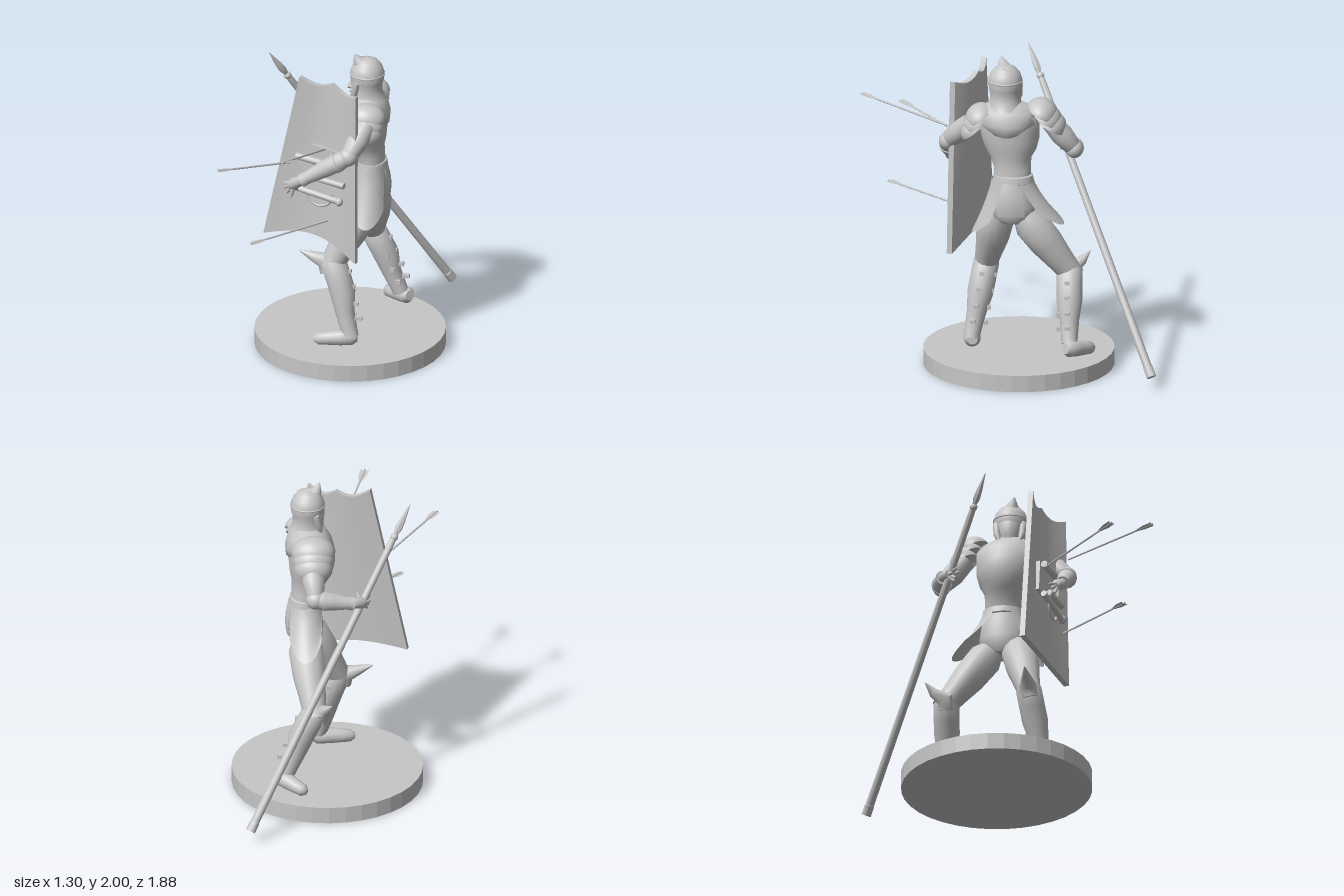
import * as THREE from 'three';
import { toCreasedNormals } from 'three/addons/utils/BufferGeometryUtils.js';

const V = (x, y, z) => new THREE.Vector3(x, y, z);
const UP = V(0, 1, 0);
const lerp = THREE.MathUtils.lerp;

export function createModel() {
  const root = new THREE.Group();
  root.name = 'knightFigure';
  const grey = new THREE.MeshStandardMaterial({ color: 0xc6c6c6, side: THREE.DoubleSide });
  grey.name = 'stone grey';

  const add = (name, geo, parent = root) => {
    const m = new THREE.Mesh(geo, grey);
    m.name = name;
    parent.add(m);
    return m;
  };

  // Closed skin over a list of equal-length rings; faces are turned outward by volume
  const loft = (rings, crease = 0.9) => {
    const n = rings[0].length, pts = rings.flat(), idx = [];
    for (let i = 0; i < rings.length - 1; i++) for (let j = 0; j < n; j++) {
      const a = i * n + j, b = i * n + (j + 1) % n;
      idx.push(a, b, a + n, b, b + n, a + n);
    }
    [0, rings.length - 1].forEach((r, end) => {
      const c = rings[r].reduce((s, p) => s.add(p), V(0, 0, 0)).divideScalar(n);
      pts.push(c);
      for (let j = 0; j < n; j++) {
        const a = r * n + j, b = r * n + (j + 1) % n;
        idx.push(...(end ? [a, b, pts.length - 1] : [b, a, pts.length - 1]));
      }
    });
    let vol = 0;
    for (let i = 0; i < idx.length; i += 3)
      vol += pts[idx[i]].dot(V(0, 0, 0).crossVectors(pts[idx[i + 1]], pts[idx[i + 2]]));
    if (vol < 0) idx.reverse();
    const g = new THREE.BufferGeometry().setFromPoints(pts);
    g.setIndex(idx);
    return toCreasedNormals(g, crease);
  };

  // Upright body from [y, cx, cz, rx, rz] levels
  const body = (name, levels, parent) => add(name, loft(levels.map(([y, cx, cz, rx, rz]) =>
    Array.from({ length: 28 }, (_, j) => {
      const a = j / 28 * Math.PI * 2;
      return V(cx + rx * Math.cos(a), y, cz + rz * Math.sin(a));
    }))), parent);

  // Round limb through [x, y, z, radius] points
  const limb = (name, pts, parent, n = 16) => {
    const p = pts.map(q => V(q[0], q[1], q[2]));
    const side = V(0, 0, 0);
    return add(name, loft(p.map((c, i) => {
      const t = p[Math.min(i + 1, p.length - 1)].clone().sub(p[Math.max(i - 1, 0)]).normalize();
      if (i === 0) side.crossVectors(t, Math.abs(t.y) > 0.9 ? V(0, 0, 1) : UP);
      side.addScaledVector(t, -side.dot(t)).normalize();
      const other = V(0, 0, 0).crossVectors(t, side);
      return Array.from({ length: n }, (_, j) => {
        const a = j / n * Math.PI * 2;
        return c.clone().addScaledVector(side, pts[i][3] * Math.cos(a)).addScaledVector(other, pts[i][3] * Math.sin(a));
      });
    })), parent);
  };

  // Open curved plate from f(u, v)
  const plate = (name, f, parent, nu = 14, nv = 8) => {
    const g = new THREE.PlaneGeometry(1, 1, nu, nv), P = g.attributes.position;
    for (let i = 0; i < P.count; i++) P.setXYZ(i, ...f(P.getX(i) + 0.5, 0.5 - P.getY(i)));
    g.computeVertexNormals();
    return add(name, g, parent);
  };

  const ball = (name, x, y, z, sx, sy, sz, parent) => {
    const m = add(name, new THREE.SphereGeometry(1, 20, 14), parent);
    m.position.set(x, y, z);
    m.scale.set(sx, sy, sz);
    return m;
  };

  // Round faceted base
  add('base', toCreasedNormals(new THREE.CylinderGeometry(0.59, 0.59, 0.105, 36), 0.1)).position.set(0.05, 0.0525, -0.06);

  // Torso armour and pelvis
  body('breastplate', [[1.24, 0.19, -0.03, 0.085, 0.115], [1.31, 0.18, -0.03, 0.09, 0.115],
    [1.37, 0.16, -0.02, 0.11, 0.125], [1.42, 0.15, -0.02, 0.13, 0.155], [1.49, 0.145, -0.015, 0.142, 0.178],
    [1.56, 0.145, -0.01, 0.145, 0.185], [1.64, 0.155, -0.01, 0.135, 0.185], [1.7, 0.165, 0, 0.105, 0.14], [1.73, 0.17, 0.01, 0.07, 0.08]]);
  body('backCollar', [[1.52, 0.19, 0, 0.09, 0.06], [1.54, 0.185, 0, 0.12, 0.11], [1.6, 0.18, 0, 0.13, 0.18],
    [1.68, 0.17, 0, 0.12, 0.18], [1.73, 0.17, 0.01, 0.08, 0.1]]);
  body('pelvis', [[0.96, 0.18, -0.03, 0.08, 0.09], [1.0, 0.185, -0.03, 0.105, 0.135], [1.07, 0.185, -0.03, 0.108, 0.15],
    [1.16, 0.185, -0.03, 0.1, 0.138], [1.27, 0.185, -0.03, 0.085, 0.115]]);
  body('belt', [[1.22, 0.187, -0.035, 0.095, 0.12], [1.225, 0.187, -0.035, 0.102, 0.128],
    [1.265, 0.187, -0.035, 0.096, 0.122], [1.27, 0.187, -0.035, 0.085, 0.11]]);

  // Flared hip plates and hanging back flap
  for (const s of [1, -1]) plate(s > 0 ? 'leftHipPlate' : 'rightHipPlate', (u, v) => {
    const a = lerp(0.45 + v * 0.12, 2.75 - v * 0.4, u);
    const rz = lerp(0.128, s > 0 ? 0.25 : 0.32, Math.pow(v, 1.3));
    const y = lerp(1.24, 0.89 + (s < 0 ? 0.06 : 0) + 0.09 * Math.pow(2 * u - 1, 2), v);
    return [0.18 + lerp(0.105, 0.125, v) * Math.cos(a), y, -0.03 + s * rz * Math.sin(a)];
  });
  plate('backFlap', (u, v) => {
    const w = lerp(0.06, 0.085, v), t = 2 * u - 1;
    return [0.288 + 0.022 * Math.sin(v * 2.4) - 0.015 * t * t, lerp(1.23, 1.02, v), -0.03 + w * t];
  });

  // Head with open-faced helmet, brow band, neck guard and forward-leaning crest
  const head = new THREE.Group();
  head.name = 'head';
  root.add(head);
  body('neckAndFace', [[1.66, 0.16, 0.01, 0.06, 0.06], [1.74, 0.15, 0.01, 0.075, 0.07],
    [1.82, 0.145, 0.01, 0.08, 0.08], [1.88, 0.16, 0.01, 0.07, 0.08]], head);
  const dome = [[0.101, 0], [0.106, 0.03], [0.104, 0.06], [0.092, 0.095], [0.066, 0.128], [0.034, 0.145], [0, 0.15]];
  add('helmetDome', new THREE.LatheGeometry(dome.map(p => new THREE.Vector2(...p)), 32), head).position.set(0.17, 1.82, 0.015);
  plate('neckGuard', (u, v) => {
    const a = lerp(-2.3, 2.3, u), back = Math.max(0, Math.cos(a));
    const r = 0.103 - 0.012 * Math.sin(v * Math.PI) + 0.018 * v * v;
    return [0.168 + r * Math.cos(a), lerp(1.83, 1.66 + 0.03 * back, v), 0.015 + r * Math.sin(a)];
  }, head, 28);
  const brow = add('browBand', new THREE.TorusGeometry(0.104, 0.006, 8, 32), head);
  brow.rotation.x = Math.PI / 2;
  brow.position.set(0.17, 1.865, 0.015);
  limb('crest', [[0.22, 1.91, 0.018, 0.045], [0.17, 1.918, 0.02, 0.056], [0.13, 1.928, 0.025, 0.054],
    [0.112, 1.96, 0.035, 0.03], [0.097, 2.0, 0.045, 0.003]], head);
  for (const s of [1, -1]) limb('cheekGuard', [[0.12, 1.83, 0.015 + s * 0.085, 0.02], [0.1, 1.75, 0.015 + s * 0.078, 0.022],
    [0.09, 1.69, 0.015 + s * 0.06, 0.008]], head);

  // Layered shoulder plates, sweeping outward and down
  const shoulder = (name, x, y, z, s, tilt, size) => {
    const g = new THREE.Group();
    g.name = name;
    g.position.set(x, y, z);
    g.rotation.x = s * tilt;
    root.add(g);
    for (let i = 0; i < 3; i++) {
      const m = add('shoulderLame', new THREE.SphereGeometry(1, 24, 10, 0, Math.PI * 2, 0, 1.5), g);
      m.scale.set((0.135 - i * 0.008) * size, 0.1 * size, (0.105 - i * 0.004) * size);
      m.position.set(0, -i * 0.022, s * i * 0.045 * size);
    }
  };
  shoulder('leftShoulder', 0.185, 1.625, 0.165, 1, 0.65, 0.92);
  shoulder('rightShoulder', 0.14, 1.645, -0.205, -1, 0.5, 1.0);

  // Arms: sleeve, elbow cup, forearm guard and hand with fingers
  const arm = (name, sh, el, wr, tips) => {
    const g = new THREE.Group();
    g.name = name;
    root.add(g);
    const mix = (a, b, t, r) => [0, 1, 2].map(k => lerp(a[k], b[k], t)).concat(r);
    limb('upperArm', [mix(sh, el, 0, 0.06), mix(sh, el, 0.5, 0.07), mix(sh, el, 0.9, 0.055), mix(sh, el, 1.1, 0.03)], g);
    ball('elbowCup', ...el, 0.06, 0.058, 0.054, g);
    limb('forearm', [mix(el, wr, 0, 0.05), mix(el, wr, 0.15, 0.058), mix(el, wr, 0.45, 0.056), mix(el, wr, 0.85, 0.041), mix(el, wr, 1, 0.043)], g);
    limb('cuff', [mix(el, wr, 0.2, 0.05), mix(el, wr, 0.21, 0.063), mix(el, wr, 0.27, 0.063), mix(el, wr, 0.28, 0.05)], g);
    const palm = tips[0].map((q, k) => lerp(wr[k], q, 0.45));
    limb('palm', [[...wr, 0.03], [...palm, 0.038], mix(palm, tips[0], 0.4, 0.026)], g);
    for (const t of tips) limb('finger', [mix(palm, t, 0.2, 0.014), mix(palm, t, 0.7, 0.013), [...t, 0.006]], g, 8);
  };
  arm('leftArm', [0.2, 1.6, 0.22], [0.11, 1.45, 0.375], [-0.18, 1.27, 0.37],
    [[-0.3, 1.185, 0.31], [-0.28, 1.16, 0.33], [-0.305, 1.215, 0.3], [-0.25, 1.14, 0.35], [-0.22, 1.17, 0.3]]);
  arm('rightArm', [0.15, 1.6, -0.26], [0.13, 1.42, -0.41], [-0.1, 1.38, -0.38],
    [[-0.21, 1.36, -0.31], [-0.2, 1.33, -0.29], [-0.21, 1.39, -0.28], [-0.19, 1.31, -0.3], [-0.13, 1.4, -0.27]]);

  // Legs: thigh, greave, knee guard with flared point, foot and calf buckles
  const leg = (name, hip, knee, ankle, toe, heel, flare) => {
    const g = new THREE.Group();
    g.name = name;
    root.add(g);
    const on = (a, b, t, r, dx = 0) => [lerp(a[0], b[0], t) + dx, lerp(a[1], b[1], t), lerp(a[2], b[2], t), r];
    limb('thigh', [on(hip, knee, -0.1, 0.07), on(hip, knee, 0.1, 0.108), on(hip, knee, 0.45, 0.104), on(hip, knee, 0.8, 0.083), on(hip, knee, 1.1, 0.07)], g);
    limb('greave', [on(knee, ankle, -0.1, 0.06), on(knee, ankle, 0, 0.08), on(knee, ankle, 0.25, 0.08, 0.01),
      on(knee, ankle, 0.45, 0.08, 0.015), on(knee, ankle, 0.75, 0.06), on(knee, ankle, 1, 0.052), on(knee, ankle, 1.12, 0.05)], g);
    limb('kneeGuard', [on(knee, ankle, 0.16, 0.05, -0.05), [knee[0] - 0.05, knee[1] + 0.005, knee[2], 0.055],
      [lerp(knee[0], flare[0], 0.62), lerp(knee[1], flare[1], 0.5), lerp(knee[2], flare[2], 0.62), 0.03], [...flare, 0.003]], g);
    limb('foot', [[...heel, 0.032], on(heel, toe, 0.12, 0.052), on(heel, toe, 0.4, 0.05), on(heel, toe, 0.7, 0.043),
      on(heel, toe, 0.9, 0.038), [...toe, 0.018]], g);
    for (const t of [0.12, 0.35, 0.6, 0.82]) {
      const q = on(knee, ankle, t, 0);
      add('buckle', new THREE.BoxGeometry(0.045, 0.022, 0.03), g).position.set(q[0] + 0.08, q[1], q[2] + 0.01);
      add('sideBuckle', new THREE.BoxGeometry(0.03, 0.025, 0.02), g).position.set(q[0] + 0.04, q[1] - 0.02, q[2] + Math.sign(hip[2]) * -0.066);
    }
  };
  leg('leftLeg', [0.17, 1.0, 0.06], [-0.02, 0.63, 0.145], [0.09, 0.22, 0.22], [-0.125, 0.15, 0.25], [0.14, 0.17, 0.22], [-0.235, 0.69, 0.14]);
  leg('rightLeg', [0.19, 0.98, -0.12], [0.135, 0.63, -0.38], [0.29, 0.26, -0.39], [0.19, 0.155, -0.53], [0.37, 0.2, -0.37], [0.03, 0.73, -0.5]);

  // Curved shield with scalloped top, leaning: one thin cross-section per column
  const shieldColumn = u => {
    const front = [], back = [], b = Math.sin(u * Math.PI);
    for (let v = 0; v <= 1; v += 0.25) {
      const x = lerp(lerp(-0.22, -0.45, v), 0.16, u) + 0.02 * b;
      const z = lerp(lerp(0.18, 0.15, v), lerp(0.345, 0.365, v), u) - 0.05 * b;
      const top = lerp(1.885, 1.845, u) - 0.035 * Math.abs(Math.sin(u * Math.PI * 2));
      const y = lerp(top, lerp(0.8, 0.73, u) + 0.075 * b, v);
      front.push(V(x - 0.005, y, z + 0.013));
      back.unshift(V(x + 0.005, y, z - 0.02));
    }
    return front.concat(back);
  };
  add('shield', loft(Array.from({ length: 21 }, (_, i) => shieldColumn(i / 20)), 0.6));

  // Straps and grip on the arm side of the shield
  const rod = (name, a, b, r, parent = root) => limb(name, [[...a, r], [...b, r]], parent, 10);
  rod('upperStrap', [-0.23, 1.385, 0.26], [-0.05, 1.37, 0.32], 0.022);
  rod('lowerStrap', [-0.1, 1.25, 0.28], [0.08, 1.235, 0.34], 0.02);
  rod('gripBar', [-0.25, 1.175, 0.26], [0.04, 1.13, 0.34], 0.02);
  ball('gripKnob', 0.05, 1.13, 0.345, 0.025, 0.028, 0.025);
  const pad = add('armPad', new THREE.BoxGeometry(0.2, 0.2, 0.03));
  pad.position.set(-0.05, 1.34, 0.24);
  pad.rotation.set(0, -0.3, -0.1);
  const loop = add('strapLoop', new THREE.TorusGeometry(0.085, 0.008, 8, 20, Math.PI));
  loop.position.set(-0.08, 1.16, 0.3);
  loop.rotation.set(0, -0.2, Math.PI);

  // Spear
  const spear = new THREE.Group();
  spear.name = 'spear';
  root.add(spear);
  const on = (t, r) => [lerp(-0.46, 0.54, t), lerp(1.91, 0.085, t), lerp(-0.08, -0.915, t), r];
  limb('shaft', [on(0.1, 0.018), on(0.13, 0.021), on(0.97, 0.027), on(0.971, 0.03), on(1, 0.03)], spear);
  limb('blade', [on(0, 0.002), on(0.05, 0.02), on(0.075, 0.024), on(0.095, 0.012)], spear, 6);
  ball('bladeSocket', ...on(0.1, 0).slice(0, 3), 0.024, 0.024, 0.024, spear);

  // Arrows at the shield, each with a pair of level feathers
  [[[-0.64, 1.455, 0.72], [-0.27, 1.34, 0.27]], [[-0.2, 1.64, 0.93], [-0.03, 1.5, 0.39]],
    [[-0.425, 1.005, 0.78], [-0.02, 1.005, 0.36]]].forEach(([tail, tip]) => {
    const g = new THREE.Group();
    g.name = 'arrow';
    root.add(g);
    rod('arrowShaft', tail, tip, 0.006, g);
    const A = V(...tail), d = V(...tip).sub(A).normalize();
    const side = V(0, 0, 0).crossVectors(d, UP).normalize();
    for (const s of [1, -1]) plate('feather', (u, v) =>
      A.clone().addScaledVector(d, 0.015 + 0.13 * u - v * 0.015 * (1 - u))
        .addScaledVector(side, s * v * 0.026 * Math.min(1, (1 - u) / 0.6)).toArray(), g, 5, 1);
  });
  return root;
}
